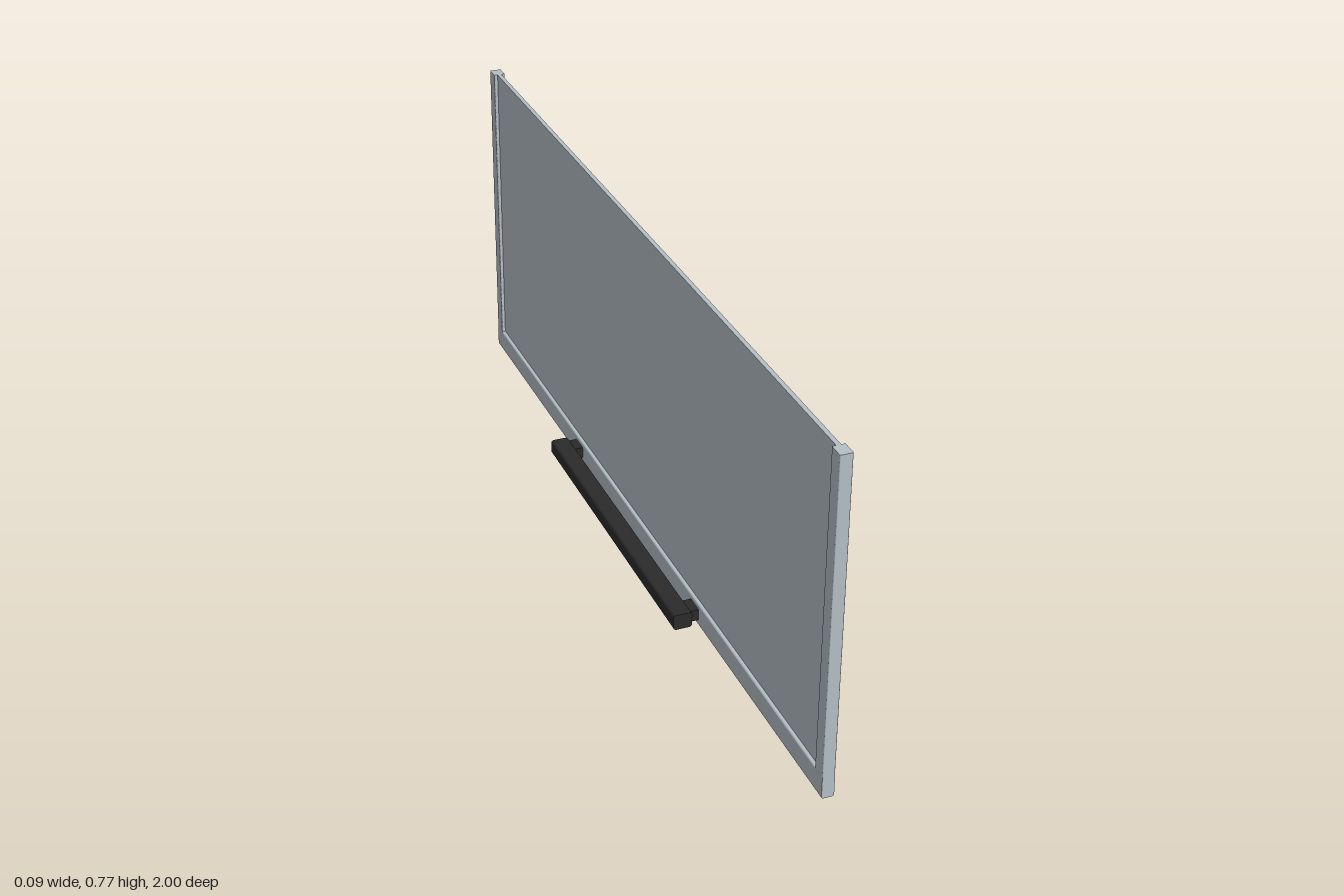
import * as THREE from 'three';

// Rectangle centred on the origin with rounded corners
function roundedRect(w, h, r) {
  const s = new THREE.Shape();
  const x = w / 2, y = h / 2;
  s.moveTo(-x + r, -y);
  s.lineTo(x - r, -y);
  s.absarc(x - r, -y + r, r, -Math.PI / 2, 0);
  s.lineTo(x, y - r);
  s.absarc(x - r, y - r, r, 0, Math.PI / 2);
  s.lineTo(-x + r, y);
  s.absarc(-x + r, y - r, r, Math.PI / 2, Math.PI);
  s.lineTo(-x, -y + r);
  s.absarc(-x + r, -y + r, r, Math.PI, Math.PI * 1.5);
  return s;
}

// Rounded bar of the given length, running along z and centred
function barGeometry(w, h, r, length) {
  const g = new THREE.ExtrudeGeometry(roundedRect(w, h, r), {
    depth: length, bevelEnabled: false, curveSegments: 4,
  });
  return g.translate(0, 0, -length / 2);
}

export function createModel() {
  const model = new THREE.Group();
  const aluminium = new THREE.MeshStandardMaterial({ color: 0xb4bfc4 });
  aluminium.name = 'pale grey metal';
  const black = new THREE.MeshStandardMaterial({ color: 0x2b2b2b });
  black.name = 'black plastic';

  const add = (name, geometry, material, x, y, z) => {
    const mesh = new THREE.Mesh(geometry, material);
    mesh.name = name;
    mesh.position.set(x, y, z);
    model.add(mesh);
    return mesh;
  };

  const frameX = 0.03, frameW = 0.027, railH = 0.052, height = 0.77;

  // Thin recessed panel between the frame members
  add('panel', new THREE.BoxGeometry(0.01, height - 0.04, 1.95), aluminium,
    frameX, 0.04 + (height - 0.04) / 2, 0);

  // Bottom rail with softened long edges
  add('bottomRail', barGeometry(frameW, railH, 0.004, 2), aluminium, frameX, railH / 2, 0);

  // Upright stiles at both ends, standing on the rail
  const stileH = height - railH + 0.004;
  for (const s of [-1, 1]) {
    const stile = add(s > 0 ? 'frontStile' : 'backStile',
      barGeometry(frameW, 0.034, 0.002, stileH), aluminium,
      frameX, height - stileH / 2, s * 0.983);
    stile.rotation.x = -Math.PI / 2;
  }

  // Grab handle and its two mounts
  add('handle', barGeometry(0.043, 0.037, 0.007, 0.79), black, -0.0235, 0.0265, -0.002);
  for (const s of [-1, 1]) {
    add(s > 0 ? 'frontMount' : 'backMount', new THREE.BoxGeometry(0.028, 0.027, 0.044),
      black, 0.005, 0.0275, s * 0.364 - 0.002);
  }
  return model;
}
